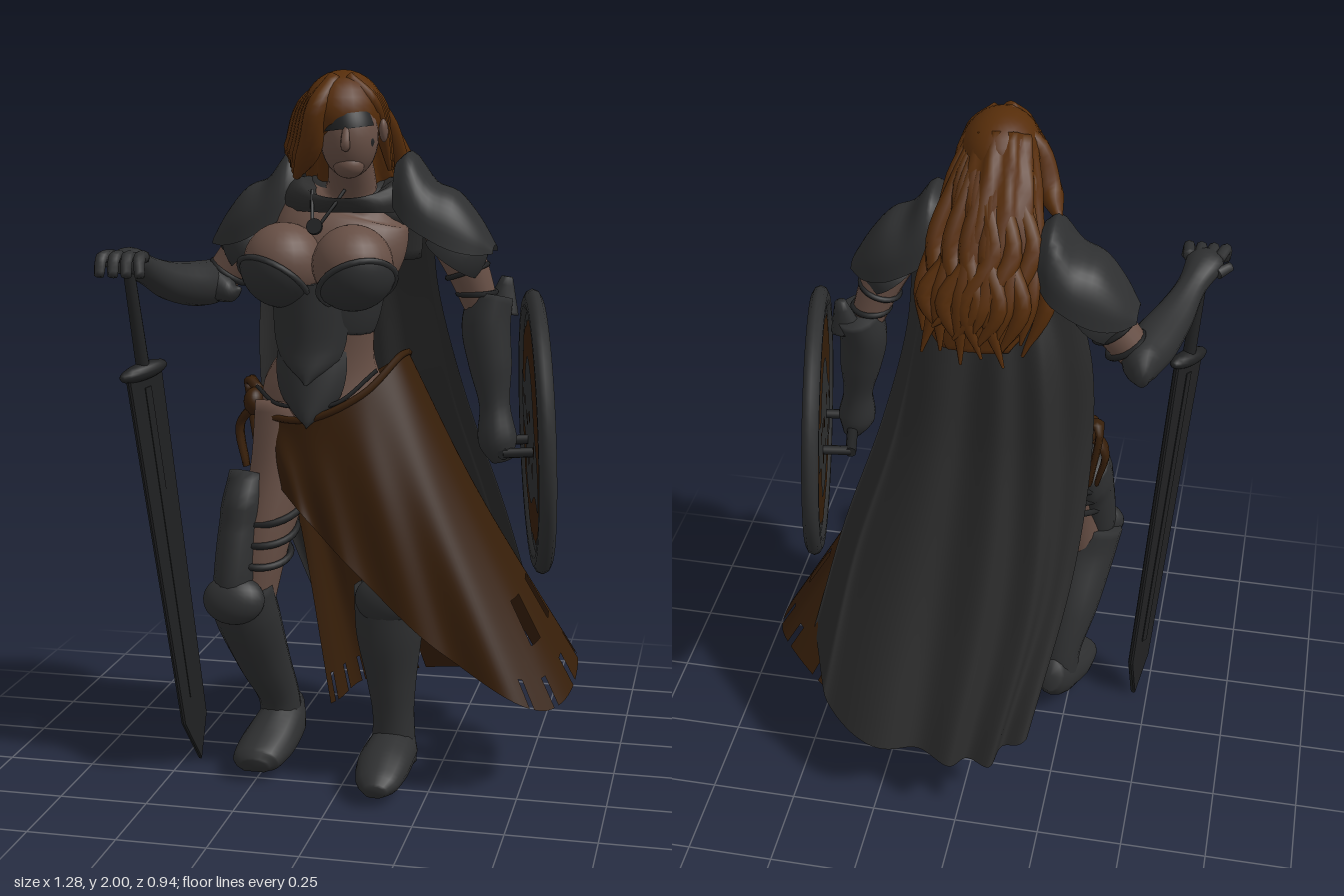
import * as THREE from 'three';

const mat = (name, color) => Object.assign(new THREE.MeshStandardMaterial({ color, side: THREE.DoubleSide }), { name });
const steel = mat('dark steel', 0x2e2f30), cape = mat('cape cloth', 0x2b2b2b), cloth = mat('brown cloth', 0x361e09);
const hair = mat('auburn hair', 0x562d0a), skin = mat('skin', 0x674f45), black = mat('blackened metal', 0x202122);
const V = (p) => new THREE.Vector3(p[0], p[1], p[2] || 0);
const curve = (pts) => new THREE.CatmullRomCurve3(pts.map(V));

export function createModel() {
  const root = new THREE.Group();
  root.name = 'warrior';
  const place = (obj, name, pos, rot, parent) => {
    obj.name = name;
    obj.position.set(...pos);
    obj.rotation.set(...rot);
    parent.add(obj);
    return obj;
  };
  const add = (name, geo, m, pos = [0, 0, 0], rot = [0, 0, 0], scale = [1, 1, 1], parent = root) => {
    const mesh = place(new THREE.Mesh(geo, m), name, pos, rot, parent);
    mesh.scale.set(...scale);
    return mesh;
  };
  const build = (name, m, pos, idx) => {
    const g = new THREE.BufferGeometry();
    g.setAttribute('position', new THREE.Float32BufferAttribute(pos, 3));
    g.setIndex(idx);
    g.computeVertexNormals();
    return add(name, g, m);
  };
  // Tapered form: points are [x, y, z, radius across, radius deep]; soles are flattened near the ground
  const limb = (name, m, pts, seg = 16, wave = 0, waves = 9) => {
    const path = curve(pts), radii = curve(pts.map((p) => [p[3], p[4] ?? p[3], 0]));
    const n = (pts.length - 1) * 5, s = (n + 1) * seg, pos = [], idx = [];
    const chord = V(pts.at(-1)).sub(V(pts[0])).normalize();
    const ref = Math.abs(chord.z) > 0.8 ? new THREE.Vector3(0, 1, 0) : new THREE.Vector3(0, 0, 1);
    for (let i = 0; i <= n; i++) {
      const c = path.getPoint(i / n), r = radii.getPoint(i / n), t = path.getTangent(i / n);
      const u = t.clone().cross(ref).normalize(), v = u.clone().cross(t);
      for (let j = 0; j < seg; j++) {
        const a = (j / seg) * Math.PI * 2, k = 1 + wave * Math.sin(a * waves + i * 0.35);
        const p = c.clone().addScaledVector(u, Math.cos(a) * r.x * k).addScaledVector(v, Math.sin(a) * r.y * k);
        pos.push(p.x, Math.max(p.y, 0.028), p.z);
        const b = i * seg + j, d = i * seg + (j + 1) % seg;
        if (i < n) idx.push(b, b + seg, d, d, b + seg, d + seg);
      }
    }
    pos.push(...pts[0].slice(0, 3), ...pts.at(-1).slice(0, 3));
    for (let j = 0; j < seg; j++) idx.push(s, j, (j + 1) % seg, s + 1, n * seg + (j + 1) % seg, n * seg + j);
    return build(name, m, pos, idx);
  };
  // Curved plate or draped cloth spanned between rows of points
  const sheet = (name, m, rows, nu, nv, fold = () => 0, skip = () => false) => {
    const lines = rows.map(curve), pos = [], idx = [];
    for (let i = 0; i <= nu; i++) {
      const down = new THREE.CatmullRomCurve3(lines.map((l) => l.getPoint(i / nu)));
      for (let j = 0; j <= nv; j++) {
        const p = down.getPoint(j / nv), f = fold(i / nu, j / nv), b = i * (nv + 1) + j;
        pos.push(p.x + f * 0.4, p.y, p.z + f);
        if (i < nu && j < nv && !skip(i, j)) idx.push(b, b + 1, b + nv + 1, b + nv + 1, b + 1, b + nv + 2);
      }
    }
    return build(name, m, pos, idx);
  };
  const ball = (name, m, pos, scale, rot) => add(name, new THREE.SphereGeometry(1, 24, 16), m, pos, rot, scale);
  const band = (name, m, pos, rx, rz, tube, rot, parent) =>
    add(name, new THREE.TorusGeometry(1, tube / rx, 6, 28).rotateX(Math.PI / 2), m, pos, rot, [rx, rx, rz], parent);
  const cord = (name, m, pts, r) => add(name, new THREE.TubeGeometry(curve(pts), 50, r, 6), m);
  // Body
  limb('torso', skin, [[-0.08, 0.97, 0.1, 0.15, 0.12], [-0.08, 1.1, 0.1, 0.18, 0.14], [-0.06, 1.25, 0.13, 0.125, 0.1],
    [-0.06, 1.38, 0.14, 0.145, 0.11], [-0.04, 1.52, 0.11, 0.19, 0.12], [-0.02, 1.62, 0.09, 0.18, 0.09],
    [0, 1.68, 0.11, 0.07, 0.07], [0.01, 1.8, 0.2, 0.055, 0.06]], 24);
  for (const [x, z, s] of [[-0.165, 0.225, -1], [0.035, 0.26, 1]]) {
    ball('breast', skin, [x, 1.485, z], [0.11, 0.108, 0.114]);
    const cup = add('breastCup', new THREE.SphereGeometry(0.121, 24, 10, 0, Math.PI * 2, 0, Math.PI * 0.34), steel,
      [x, 1.48, z], [2.5, 0, s * -0.35]);
    band('cupRim', steel, [0, 0.058, 0], 0.107, 0.107, 0.008, [0, 0, 0], cup);
  }
  limb('bodice', steel, [[-0.07, 1.31, 0.135, 0.14, 0.11], [-0.06, 1.37, 0.14, 0.152, 0.116], [-0.06, 1.43, 0.14, 0.17, 0.125]], 24);
  // Belly plates, the upper one overlapping the lower
  const plate = (name, rows) => sheet(name, steel, rows.map(([y, w, z]) =>
    [-1, -0.6, 0, 0.6, 1].map((k) => [-0.09 + k * w, y + k * k * 0.02, z - k * k * 0.055])), 16, 12);
  plate('lowerBellyPlate', [[1.24, 0.095, 0.265], [1.17, 0.1, 0.275], [1.1, 0.085, 0.285], [1.055, 0.05, 0.29], [1.035, 0.01, 0.285]]);
  plate('upperBellyPlate', [[1.43, 0.11, 0.29], [1.34, 0.105, 0.285], [1.25, 0.1, 0.28], [1.19, 0.075, 0.29], [1.155, 0.02, 0.293]]);
  // Neck drape and necklace
  const loop = (rx, rz, y, z, dip) => Array.from({ length: 17 }, (_, i) => {
    const a = (i / 16) * Math.PI * 2;
    return [Math.cos(a) * rx - 0.005, y - dip * Math.max(0, Math.sin(a)), z + Math.sin(a) * rz];
  });
  sheet('collarDrape', cape, [loop(0.09, 0.085, 1.68, 0.13, 0.03), loop(0.14, 0.11, 1.71, 0.12, 0.05), loop(0.185, 0.125, 1.675, 0.1, 0.04), loop(0.19, 0.125, 1.62, 0.09, 0)],
    48, 8, (u, v) => 0.008 * v * Math.sin(u * 44));
  limb('upperBackDrape', cape, [[-0.02, 1.5, 0.02, 0.2, 0.07], [-0.01, 1.62, 0.04, 0.2, 0.08], [0, 1.7, 0.08, 0.11, 0.075]], 20);
  cord('necklace', black, [[-0.09, 1.68, 0.2], [-0.085, 1.63, 0.225], [-0.07, 1.58, 0.26], [-0.03, 1.63, 0.235], [0.0, 1.68, 0.2]], 0.005);
  add('pendant', new THREE.CylinderGeometry(0.022, 0.022, 0.012, 14), black, [-0.07, 1.585, 0.26], [1.2, 0, 0]);
  // Head, turned a little to the left
  const face = [0.078, 0.11, 0.088], head = [0.022, 1.825, 0.24];
  ball('face', skin, head, face);
  limb('nose', skin, [[0.03, 1.85, 0.32, 0.009], [0.032, 1.805, 0.335, 0.013], [0.031, 1.796, 0.32, 0.009]], 8);
  ball('chin', skin, [0.028, 1.75, 0.275], [0.042, 0.034, 0.04]);
  ball('leftEar', skin, [0.106, 1.84, 0.195], [0.012, 0.032, 0.02], [0.3, 0, 0]);
  add('eyeMask', new THREE.SphereGeometry(1.04, 20, 6, Math.PI * 0.15, Math.PI * 0.75, Math.PI * 0.32, Math.PI * 0.12), black, head, [0, 0, 0.12], face);
  ball('cheekMark', black, [0.08, 1.815, 0.258], [0.016, 0.03, 0.03]);
  // Hair: cap, falling mass, loose strands
  ball('hairCap', hair, [-0.006, 1.885, 0.185], [0.11, 0.115, 0.14]);
  limb('hairMass', hair, [[-0.01, 1.93, 0.17, 0.09, 0.08], [-0.02, 1.83, 0.09, 0.11, 0.1], [-0.02, 1.72, 0.01, 0.13, 0.1],
    [0, 1.6, -0.06, 0.145, 0.085], [0.01, 1.5, -0.095, 0.13, 0.06], [0.01, 1.44, -0.115, 0.09, 0.035]], 48, 0.06, 11);
  for (let i = 0; i < 17; i++) {
    const s = i / 8 - 1, c = Math.sqrt(1 - s * s * 0.9), k = (i * 7 % 5) / 5, w = (i % 3 - 1) * 0.025;
    limb('hairStrand', hair, [[s * 0.06, 1.95, 0.18 - c * 0.03, 0.014], [s * 0.1, 1.85, 0.12 - c * 0.11, 0.024],
      [s * 0.13 - w - 0.01, 1.72, 0.04 - c * 0.13, 0.028, 0.024], [s * 0.155 + w, 1.6, -0.045 - c * 0.115, 0.026, 0.018],
      [s * 0.145 - w + k * 0.02, 1.43 + k * 0.13, -0.08 - c * 0.1, 0.004]], 8);
  }
  for (let i = 0; i < 5; i++) {
    limb('rightSideLock', hair, [[-0.015, 1.98, 0.25 - i * 0.02, 0.02], [-0.05 - i * 0.014, 1.9, 0.305 - i * 0.03, 0.032],
      [-0.075 - i * 0.018, 1.8, 0.285 - i * 0.035, 0.034], [-0.13 - i * 0.014, 1.715 + i * 0.012, 0.22 - i * 0.04, 0.01]], 10);
    limb('leftSideLock', hair, [[0.015, 1.98, 0.24 - i * 0.02, 0.018], [0.08, 1.92, 0.235 - i * 0.02, 0.02],
      [0.09, 1.83, 0.14 - i * 0.02, 0.018], [0.1, 1.73, 0.08 - i * 0.02, 0.006]], 10);
  }
  // Shoulder armour: an upright flange by the neck sweeping down and out, over a lower plate
  const ribs = [[0.14, 1.76, 1.64, 0.1], [0.175, 1.785, 1.6, 0.125], [0.24, 1.705, 1.56, 0.135], [0.3, 1.68, 1.53, 0.125], [0.36, 1.61, 1.515, 0.095], [0.405, 1.535, 1.515, 0.045]];
  const arc = [[1, 0], [0.92, 0.5], [0.6, 0.88], [0, 1], [-0.6, 0.88], [-0.92, 0.5], [-1, 0]];
  for (const [s, x0, z] of [[1, 0, 0.15], [-1, -0.01, 0.02]]) {
    sheet('pauldron', steel, ribs.map(([x, top, low, h]) => arc.map(([k, f]) => [x0 + s * x, low + (top - low) * f, z + k * h])), 24, 20);
    add('pauldronLowerPlate', new THREE.SphereGeometry(1, 24, 10, 0, Math.PI * 2, 0, Math.PI * 0.52), steel, [x0 + s * 0.29, 1.5, z], [0, 0, -s * 0.6], [0.085, 0.12, 0.105]);
  }
  // Arms
  limb('leftUpperArm', skin, [[0.26, 1.6, 0.14, 0.07], [0.32, 1.48, 0.12, 0.06], [0.37, 1.34, 0.1, 0.045]]);
  limb('leftGauntlet', steel, [[0.385, 1.39, 0.085, 0.062, 0.075], [0.375, 1.31, 0.1, 0.068, 0.07], [0.39, 1.2, 0.11, 0.06, 0.058],
    [0.405, 1.09, 0.12, 0.043, 0.045], [0.415, 1.0, 0.13, 0.055, 0.055], [0.43, 0.94, 0.13, 0.03, 0.04]]);
  limb('leftCuffPoint', steel, [[0.41, 1.34, 0.06, 0.05, 0.03], [0.425, 1.44, 0.05, 0.016]], 10);
  limb('rightUpperArm', skin, [[-0.27, 1.61, 0.02, 0.07], [-0.34, 1.5, 0.0, 0.06], [-0.42, 1.4, 0.0, 0.05]]);
  limb('rightGauntlet', steel, [[-0.445, 1.4, -0.11, 0.02, 0.03], [-0.435, 1.4, -0.04, 0.055, 0.06], [-0.455, 1.4, 0.06, 0.068, 0.065],
    [-0.5, 1.42, 0.19, 0.055, 0.055], [-0.535, 1.46, 0.29, 0.042, 0.04], [-0.56, 1.49, 0.36, 0.055, 0.04], [-0.565, 1.49, 0.4, 0.04, 0.03]]);
  limb('rightCuffPoint', steel, [[-0.42, 1.4, 0.04, 0.05, 0.05], [-0.36, 1.38, 0.07, 0.03, 0.03], [-0.33, 1.39, 0.08, 0.006]], 10);
  for (let i = 0; i < 4; i++)
    limb('rightFinger', steel, [[-0.6 + i * 0.028, 1.505, 0.37, 0.018], [-0.615 + i * 0.035, 1.505, 0.425, 0.017], [-0.615 + i * 0.038, 1.46, 0.45, 0.014]], 8);
  limb('rightThumb', steel, [[-0.6, 1.48, 0.33, 0.018], [-0.635, 1.49, 0.36, 0.014]], 8);
  for (let i = 0; i < 2; i++) {
    band('leftArmStrap', black, [0.325 + i * 0.025, 1.46 - i * 0.06, 0.117 - i * 0.01], 0.058 - i * 0.006, 0.06 - i * 0.006, 0.008, [0, 0, 0.35 - i * 0.3]);
    band('rightArmStrap', black, [-0.35 - i * 0.035, 1.48 - i * 0.05, 0], 0.06 - i * 0.004, 0.06 - i * 0.004, 0.009, [0, 0, -0.6]);
  }
  // Sword, its tip on the ground and its edge turned from the front
  const tip = [-0.455, 0.005, 0.14], axis = V([-0.56, 1.5, 0.38]).sub(V(tip)).normalize();
  const edge = V([0.5, 0, -0.86]).projectOnPlane(axis).normalize();
  const sword = place(new THREE.Group(), 'sword', tip, [0, 0, 0], root);
  sword.quaternion.setFromRotationMatrix(new THREE.Matrix4().makeBasis(edge, axis, edge.clone().cross(axis)));
  const blade = new THREE.Shape([[0, 0], [0.042, 0.13], [0.058, 1.19], [-0.058, 1.19], [-0.042, 0.13]].map((p) => new THREE.Vector2(...p)));
  add('blade', new THREE.ExtrudeGeometry(blade, { depth: 0.008, bevelThickness: 0.005, bevelSize: 0.004, bevelSegments: 1 }), black, [0, 0, -0.004], [0, 0, 0], [1, 1, 1], sword);
  add('fuller', new THREE.BoxGeometry(0.022, 0.95, 0.024), black, [0, 0.68, 0], [0, 0, 0], [1, 1, 1], sword);
  add('guard', new THREE.SphereGeometry(1, 16, 10), black, [0, 1.2, 0], [0, 0, 0], [0.085, 0.025, 0.028], sword);
  add('grip', new THREE.CylinderGeometry(0.016, 0.019, 0.3, 12), black, [0, 1.35, 0], [0, 0, 0], [1, 1, 1], sword);
  // Round shield, painted on both faces
  const shield = place(new THREE.Group(), 'shield', [0.515, 1.01, 0.06], [-0.04, 1.77, 0, 'YXZ'], root);
  add('shieldBoard', new THREE.CylinderGeometry(0.375, 0.375, 0.026, 48), steel, [0, 0, 0], [Math.PI / 2, 0, 0], [1, 1, 1], shield);
  add('shieldRim', new THREE.TorusGeometry(0.364, 0.033, 10, 56), steel, [0, 0, 0], [0, 0, 0], [1, 1, 0.75], shield);
  const ring = new THREE.Shape(Array.from({ length: 96 }, (_, i) => {
    const a = (i / 96) * Math.PI * 2, r = 0.308 + 0.006 * Math.sin(a * 9) + 0.005 * Math.sin(a * 23 + 1);
    return new THREE.Vector2(Math.cos(a) * r, Math.sin(a) * r);
  }));
  const beast = new THREE.Shape(new THREE.CatmullRomCurve3([[-0.25, -0.07], [-0.23, -0.18], [-0.12, -0.16], [0.03, -0.21], [0.16, -0.16], [0.18, -0.04], [0.26, 0.0],
    [0.25, 0.14], [0.17, 0.11], [0.11, 0.17], [0.02, 0.21], [-0.09, 0.16], [-0.16, 0.04]].map(V), true).getPoints(70).map((p) => new THREE.Vector2(p.x, p.y)));
  const spots = [[-0.04, 0.05], [-0.17, -0.02], [-0.1, -0.09], [0.12, 0.07], [0.12, -0.05], [0.02, -0.08], [0.2, 0.08], [0.05, 0.03]];
  for (const s of [1, -1]) {
    add('paintedField', new THREE.ShapeGeometry(ring), cloth, [0, 0, s * 0.016], [0, 0, 0], [1, 1, 1], shield);
    add('paintedShape', new THREE.ShapeGeometry(beast), steel, [0, 0, s * 0.019], [0, 0, 0], [1, 1, 1], shield);
    spots.forEach(([x, y], i) => add('paintedSpot', new THREE.CircleGeometry(0.022, 9), cloth, [x, y, s * 0.022], [0, 0, i], [1.2, 0.8, 1], shield));
    add('handlePost', new THREE.CylinderGeometry(0.014, 0.014, 0.1, 8), black, [s * 0.09, -0.04, -0.05], [1.57, 0, 0], [1, 1, 1], shield);
  }
  add('shieldHandle', new THREE.CylinderGeometry(0.016, 0.016, 0.2, 10), black, [0.0, -0.04, -0.1], [0, 0, 1.57], [1, 1, 1], shield);
  // Legs
  limb('rightThigh', skin, [[-0.17, 1.06, 0.11, 0.11, 0.12], [-0.19, 0.9, 0.16, 0.09, 0.11], [-0.23, 0.7, 0.23, 0.075, 0.08], [-0.26, 0.5, 0.25, 0.06, 0.065]]);
  limb('rightThighGuard', steel, [[-0.27, 0.88, 0.2, 0.062, 0.085], [-0.285, 0.75, 0.25, 0.062, 0.085], [-0.295, 0.6, 0.29, 0.06, 0.075], [-0.3, 0.52, 0.3, 0.05, 0.06]]);
  limb('rightBoot', steel, [[-0.285, 0.57, 0.28, 0.095, 0.085], [-0.27, 0.48, 0.25, 0.092, 0.085], [-0.25, 0.33, 0.16, 0.075, 0.08], [-0.225, 0.2, 0.09, 0.06, 0.062], [-0.22, 0.11, 0.075, 0.06, 0.06]]);
  limb('rightFoot', steel, [[-0.205, 0.16, 0.0, 0.035, 0.05], [-0.215, 0.12, 0.07, 0.068, 0.08], [-0.235, 0.08, 0.17, 0.08, 0.065], [-0.25, 0.055, 0.26, 0.07, 0.045], [-0.25, 0.045, 0.285, 0.04, 0.025]]);
  ball('rightKneePlate', steel, [-0.29, 0.55, 0.325], [0.088, 0.07, 0.055], [-0.3, 0, 0]);
  limb('leftThigh', skin, [[0.02, 1.05, 0.1, 0.12, 0.12], [0.07, 0.9, 0.13, 0.11, 0.11], [0.11, 0.72, 0.16, 0.08, 0.08], [0.12, 0.55, 0.17, 0.06, 0.06]]);
  limb('leftThighGuard', steel, [[0.115, 0.78, 0.17, 0.085, 0.085], [0.12, 0.65, 0.18, 0.08, 0.08], [0.12, 0.55, 0.18, 0.075, 0.075]]);
  limb('leftBoot', steel, [[0.12, 0.57, 0.18, 0.1, 0.085], [0.12, 0.45, 0.17, 0.096, 0.09], [0.125, 0.3, 0.155, 0.072, 0.078], [0.13, 0.18, 0.15, 0.06, 0.065], [0.13, 0.05, 0.15, 0.068, 0.065]]);
  limb('leftFoot', steel, [[0.13, 0.07, 0.08, 0.045, 0.05], [0.13, 0.085, 0.16, 0.072, 0.07], [0.125, 0.075, 0.27, 0.076, 0.06], [0.125, 0.055, 0.36, 0.06, 0.04], [0.125, 0.045, 0.4, 0.03, 0.02]]);
  ball('leftKneePlate', steel, [0.12, 0.55, 0.235], [0.085, 0.07, 0.04]);
  for (let i = 0; i < 3; i++) band('thighStrap', black, [-0.215 - i * 0.01, 0.79 - i * 0.06, 0.2 + i * 0.018], 0.092 - i * 0.004, 0.1 - i * 0.006, 0.01, [0.3, 0, 0.12 - i * 0.1]);
  // Wrapped skirt sweeping to the left, torn in places, with a fringed hem
  const waist = [[-0.27, 1.05, 0.12], [-0.2, 1.05, 0.22], [-0.08, 1.06, 0.27], [0.06, 1.13, 0.24], [0.14, 1.22, 0.13], [0.13, 1.2, -0.02], [0, 1.12, -0.06], [-0.18, 1.1, -0.05], [-0.27, 1.06, 0.02]];
  const thigh = [[-0.25, 0.98, 0.2], [-0.16, 0.94, 0.275], [-0.02, 0.88, 0.3], [0.16, 0.84, 0.28], [0.31, 0.82, 0.18], [0.32, 0.82, -0.06], [0.12, 0.75, -0.13], [-0.12, 0.7, -0.13], [-0.21, 0.75, -0.06]];
  const hem = [[-0.22, 0.91, 0.24], [-0.12, 0.82, 0.3], [0.04, 0.66, 0.32], [0.3, 0.42, 0.3], [0.57, 0.26, 0.25], [0.62, 0.32, -0.12], [0.32, 0.2, -0.31], [-0.02, 0.14, -0.3], [-0.12, 0.1, -0.13]];
  sheet('skirt', cloth, [waist, thigh, hem], 144, 28, (u, v) => 0.008 * v * Math.sin(u * 60),
    (i, j) => (i > 68 && j > 25 && i % 6 === 3) || (j > 20 && j < 24 && [76, 77, 78, 84, 85].includes(i)));
  cord('skirtWaistband', cloth, waist, 0.01);
  cord('beltCord', black, [[-0.27, 1.12, 0.13], [-0.18, 1.09, 0.23], [-0.02, 1.1, 0.25], [0.09, 1.19, 0.2]], 0.006);
  ball('hipKnot', cloth, [-0.29, 1.07, 0.09], [0.03, 0.04, 0.04]);
  limb('knotTail', cloth, [[-0.29, 1.06, 0.09, 0.014, 0.03], [-0.335, 1.0, 0.08, 0.012, 0.03], [-0.315, 0.88, 0.09, 0.008, 0.025]], 8);
  limb('knotTail', cloth, [[-0.28, 1.1, 0.07, 0.016, 0.02], [-0.32, 1.12, 0.03, 0.012, 0.025], [-0.3, 0.93, 0.02, 0.01, 0.03]], 8);
  // Long folded cape
  sheet('cape', cape, [
    [[0.22, 1.6, 0.08], [0.14, 1.66, 0.02], [0.02, 1.67, -0.03], [-0.1, 1.66, -0.05], [-0.25, 1.6, -0.04]],
    [[0.23, 1.4, 0.03], [0.17, 1.4, -0.06], [0.02, 1.4, -0.1], [-0.16, 1.4, -0.12], [-0.3, 1.4, -0.05]],
    [[0.3, 1.1, -0.02], [0.22, 1.08, -0.12], [0.04, 1.07, -0.16], [-0.18, 1.07, -0.17], [-0.31, 1.1, -0.06]],
    [[0.41, 0.76, -0.08], [0.32, 0.69, -0.22], [0.08, 0.65, -0.28], [-0.17, 0.68, -0.27], [-0.28, 0.72, -0.15]],
    [[0.5, 0.4, -0.17], [0.38, 0.25, -0.4], [0.12, 0.21, -0.45], [-0.08, 0.21, -0.45], [-0.19, 0.28, -0.38]]],
  96, 28, (u, v) => (0.004 + 0.018 * v) * Math.sin(u * 30 + Math.sin(u * 9)));
  return root;
}
